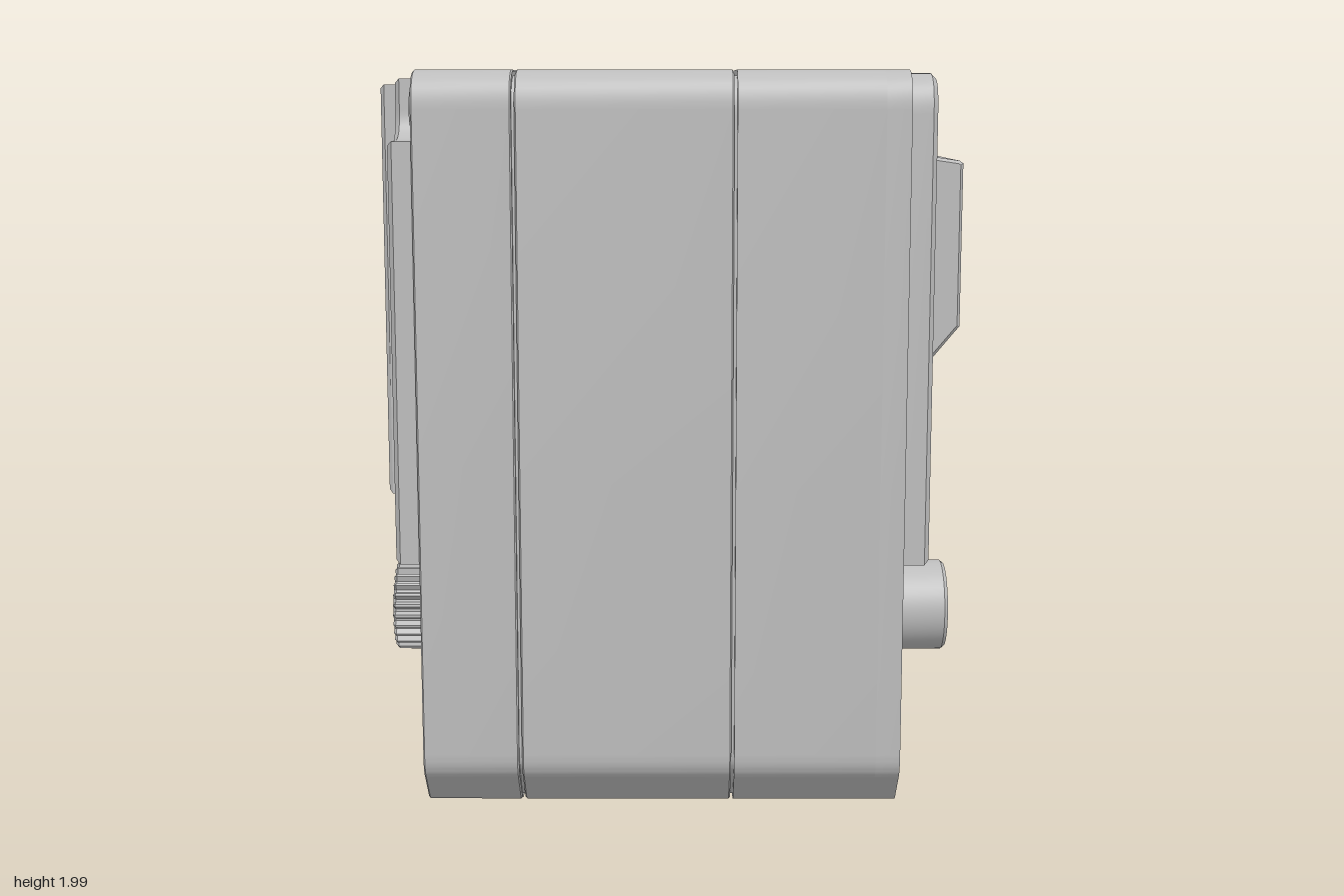
import * as THREE from 'three';
import { toCreasedNormals } from 'three/addons/utils/BufferGeometryUtils.js';

const AXIS_Y = 0.455; // height of the output shaft
const ARC_R = 0.5; // clearance arc around the shaft

export function createModel() {
  const model = new THREE.Group();
  model.name = 'actuator';
  const unit = new THREE.Group();
  unit.name = 'housing';
  unit.rotation.set(0.006, -0.016, 0);
  unit.position.z = -0.006;
  model.add(unit);

  const grey = new THREE.MeshStandardMaterial({ color: 0xbcbcbc });
  grey.name = 'plain grey';

  const add = (name, geo, crease = 0.55) => {
    const mesh = new THREE.Mesh(toCreasedNormals(geo, crease), grey);
    mesh.name = name;
    unit.add(mesh);
    return mesh;
  };

  // Extrude an outline drawn in (-z, y) from x0 to x1
  const slab = (name, shape, x0, x1, bevel = 0, crease) => {
    const geo = new THREE.ExtrudeGeometry(shape, {
      depth: x1 - x0 - 2 * bevel, curveSegments: 10,
      bevelEnabled: bevel > 0, bevelThickness: bevel, bevelSize: bevel,
      bevelOffset: -bevel, bevelSegments: 1,
    });
    geo.translate(0, 0, bevel).rotateY(Math.PI / 2).translate(x0, 0, 0);
    return add(name, geo, crease);
  };

  const circle = (u, y, r) => new THREE.Path().absarc(u, y, r, 0, Math.PI * 2, true);
  const disc = (name, u, y, r, x0, x1) => {
    const geo = new THREE.CylinderGeometry(r, r, x1 - x0, 32);
    geo.rotateZ(-Math.PI / 2).translate((x0 + x1) / 2, y, -u);
    return add(name, geo);
  };
  const rect = (u0, y0, u1, y1) => new THREE.Shape([
    new THREE.Vector2(u0, y0), new THREE.Vector2(u1, y0),
    new THREE.Vector2(u1, y1), new THREE.Vector2(u0, y1)]);

  // Case outline: rounded top, softened chamfers below, optional keyway slot
  const caseShape = (d = 0, slot = false) => {
    const w = 0.543 - d, b = 0.008 + d, t = 1.992 - d, s = new THREE.Shape();
    s.moveTo(-0.4, b);
    if (slot) {
      s.lineTo(-0.045, b).lineTo(-0.045, 0.21).lineTo(0.045, 0.21).lineTo(0.045, b);
    }
    s.lineTo(0.39, b);
    s.quadraticCurveTo(0.43, b, 0.45, b + 0.025);
    s.lineTo(w - 0.025, b + 0.1);
    s.quadraticCurveTo(w, b + 0.125, w, b + 0.17);
    s.lineTo(w, t - 0.1);
    s.quadraticCurveTo(w, t, w - 0.1, t);
    s.lineTo(-w + 0.1, t);
    s.quadraticCurveTo(-w, t, -w, t - 0.1);
    s.lineTo(-w, b + 0.17);
    s.quadraticCurveTo(-w, b + 0.125, -w + 0.025, b + 0.1);
    s.lineTo(-0.45, b + 0.025);
    s.quadraticCurveTo(-0.43, b, -0.39, b);
    return s;
  };

  // Three case sections separated by narrow seams
  slab('seamCore', caseShape(0.015), -0.6, 0.5);
  slab('rearCase', caseShape(), -0.665, -0.408, 0.004);
  slab('middleCase', caseShape(), -0.4, 0.162, 0.004);
  slab('frontCase', caseShape(), 0.17, 0.55);

  // Face layer holding the connector pocket and keyway
  const face = caseShape(0, true);
  face.holes.push(rect(-0.43, 0.95, 0.43, 1.24));
  slab('frontFace', face, 0.55, 0.615);

  // Front cover: two legs hug the shaft, open slot below the raised block
  const front = new THREE.Shape();
  front.moveTo(-0.535, 0.7);
  front.lineTo(-0.43, 0.7);
  front.absarc(0, AXIS_Y, ARC_R, 2.62, 2.19, true);
  front.lineTo(-0.29, 0.94).lineTo(-0.47, 0.94).lineTo(-0.47, 1.2);
  front.lineTo(0.47, 1.2).lineTo(0.47, 0.94).lineTo(0.29, 0.94);
  front.absarc(0, AXIS_Y, ARC_R, 0.95, 0.523, true);
  front.lineTo(0.535, 0.7).lineTo(0.535, 1.88);
  front.quadraticCurveTo(0.535, 1.983, 0.435, 1.983);
  front.lineTo(-0.435, 1.983);
  front.quadraticCurveTo(-0.535, 1.983, -0.535, 1.88);
  for (const u of [-0.45, 0.45]) {
    for (const y of [0.82, 1.9]) {
      front.holes.push(circle(u, y, 0.041));
      disc('frontScrew', u, y, 0.041, 0.61, 0.645);
    }
  }
  slab('frontCover', front, 0.602, 0.682, 0.012);

  // Raised block with sloping underside and its label panel
  const block = new THREE.Shape();
  block.moveTo(0.58, 1.17).lineTo(0.66, 1.19).lineTo(0.768, 1.32);
  block.lineTo(0.768, 1.75).lineTo(0.758, 1.757).lineTo(0.67, 1.77).lineTo(0.58, 1.77);
  const blockGeo = new THREE.ExtrudeGeometry(block, {
    depth: 0.79, bevelThickness: 0.01, bevelSize: 0.008, bevelOffset: -0.008, bevelSegments: 1,
  });
  add('connectorBlock', blockGeo.translate(0, 0, -0.395), 0.3);
  slab('frontPanel', rect(-0.28, 1.42, 0.28, 1.68), 0.765, 0.771);

  // Output shaft with bore, and the flange around it
  disc('shaftFlange', 0, AXIS_Y, 0.22, 0.6, 0.622);
  const profile = [[0.13, 0], [0.13, 0.185], [0.122, 0.195], [0.062, 0.195], [0.057, 0.185],
    [0.057, 0.06], [0, 0.06]].map(([r, h]) => new THREE.Vector2(r, h));
  add('outputShaft', new THREE.LatheGeometry(profile, 40)
    .rotateZ(-Math.PI / 2).translate(0.6, AXIS_Y, 0));

  // Rear cover: scooped top corners and an arc around the pinion
  const rear = new THREE.Shape();
  rear.moveTo(-0.53, 0.7).lineTo(-0.43, 0.7);
  rear.absarc(0, AXIS_Y, ARC_R, 2.62, 0.523, true);
  rear.lineTo(0.53, 0.7).lineTo(0.53, 1.81).lineTo(0.45, 1.81);
  rear.quadraticCurveTo(0.36, 1.81, 0.36, 1.89);
  rear.lineTo(0.36, 1.97).lineTo(-0.36, 1.97).lineTo(-0.36, 1.89);
  rear.quadraticCurveTo(-0.36, 1.81, -0.45, 1.81);
  rear.lineTo(-0.53, 1.81);
  for (const u of [-0.455, 0.455]) {
    for (const y of [0.81, 1.72]) {
      rear.holes.push(circle(u, y, 0.041));
      disc('rearScrew', u, y, 0.041, -0.69, -0.65);
    }
    disc('cornerScrew', u, 1.89, 0.055, -0.672, -0.65);
  }
  slab('rearCover', rear, -0.728, -0.652, 0.012);

  // Raised rear panel following the same arc
  const raised = new THREE.Shape();
  raised.moveTo(-0.31, 0.85);
  raised.absarc(0, AXIS_Y, ARC_R, 2.24, 0.9, true);
  raised.lineTo(0.31, 1.955).lineTo(-0.31, 1.955);
  slab('rearRaisedPanel', raised, -0.773, -0.7, 0.01);
  slab('rearLabelPanel', rect(-0.23, 1.12, 0.23, 1.78), -0.776, -0.77);

  // Splined pinion with hollow centre
  disc('pinionFlange', 0, AXIS_Y, 0.2, -0.669, -0.65);
  const teeth = 26, gear = new THREE.Shape();
  for (let i = 0; i < teeth * 4; i++) {
    const a = (i / (teeth * 4)) * Math.PI * 2, r = i % 4 < 2 ? 0.13 : 0.114;
    gear[i ? 'lineTo' : 'moveTo'](Math.cos(a) * r, AXIS_Y + Math.sin(a) * r);
  }
  gear.holes.push(circle(0, AXIS_Y, 0.065));
  slab('pinion', gear, -0.8, -0.64, 0.008, 0.3);
  disc('pinionCore', 0, AXIS_Y, 0.067, -0.76, -0.65);

  return model;
}
